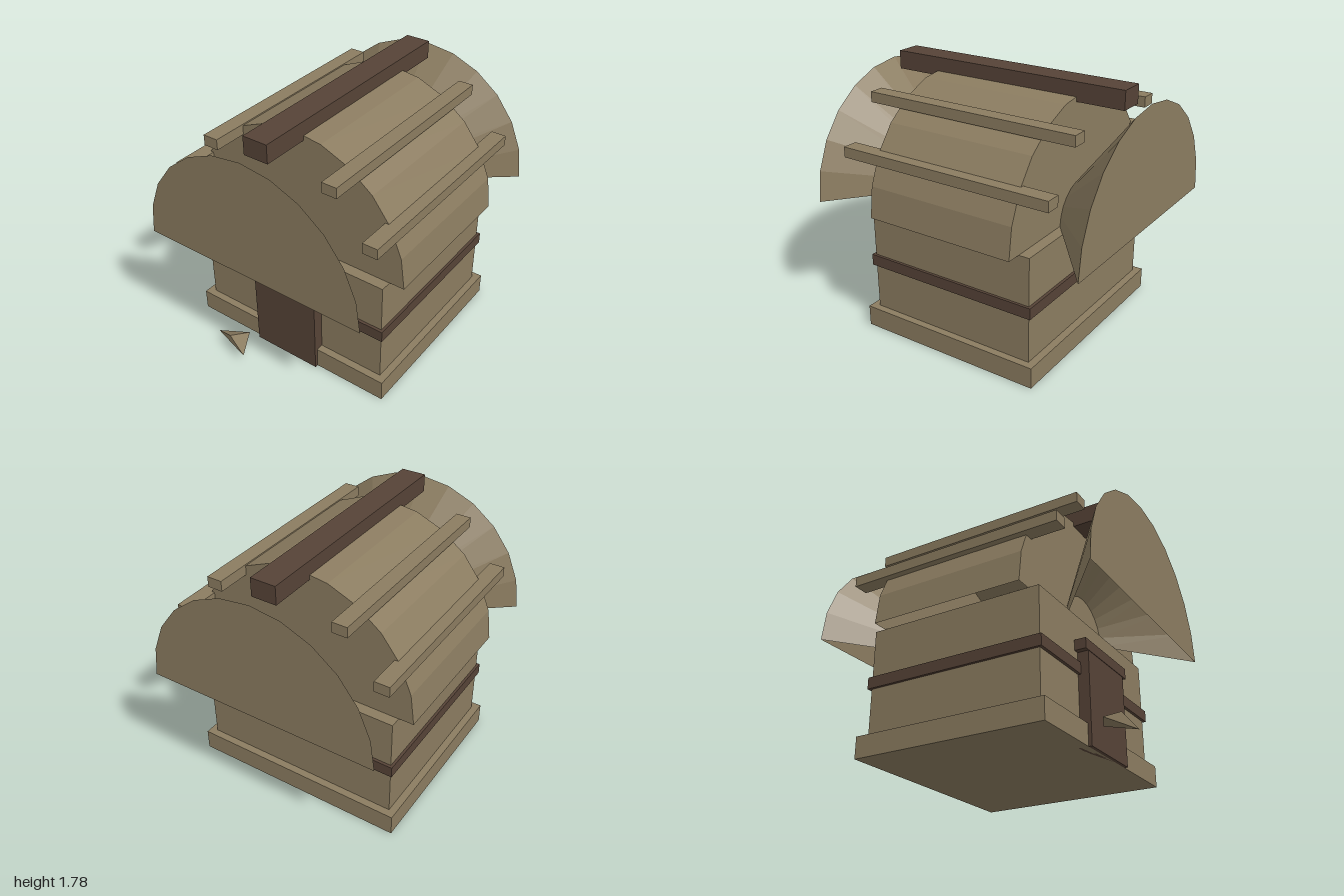
import * as THREE from 'three';
import { ConvexGeometry } from 'three/addons/geometries/ConvexGeometry.js';

export function createModel() {
  const group = new THREE.Group();
  group.name = 'barrelRoofHut';

  const clay = new THREE.MeshStandardMaterial({ color: 0x8b7c60, flatShading: true, side: THREE.DoubleSide });
  clay.name = 'clay';
  const wood = new THREE.MeshStandardMaterial({ color: 0x564337, flatShading: true });
  wood.name = 'dark wood';

  const add = (name, geometry, material) => {
    const mesh = new THREE.Mesh(geometry, material);
    mesh.name = name;
    group.add(mesh);
    return mesh;
  };

  // Box given by its minimum and maximum on each axis
  const box = (name, material, [x0, x1], [y0, y1], [z0, z1]) =>
    add(name, new THREE.BoxGeometry(x1 - x0, y1 - y0, z1 - z0), material)
      .position.set((x0 + x1) / 2, (y0 + y1) / 2, (z0 + z1) / 2);

  // Upper half of a cylinder or cone lying along z, open underneath
  const EAVES = 0.87;
  const arch = (name, rFront, rBack, zFront, zBack) => {
    const g = new THREE.CylinderGeometry(rFront, rBack, zFront - zBack, 12, 1, false, Math.PI / 2, Math.PI);
    g.rotateX(Math.PI / 2);
    add(name, g, clay).position.set(0, EAVES, (zFront + zBack) / 2);
  };

  // Body
  box('base', clay, [-0.77, 0.77], [0, 0.145], [-0.665, 0.665]);
  box('walls', clay, [-0.72, 0.72], [0.145, EAVES], [-0.613, 0.613]);
  box('wallBand', wood, [-0.738, 0.738], [0.465, 0.543], [-0.633, 0.633]);

  // Doorway
  box('door', wood, [-0.25, 0.25], [0, 0.615], [0.6, 0.688]);
  box('lintel', wood, [-0.288, 0.288], [0.613, 0.685], [0.6, 0.692]);

  // Roof with a flared hood at each end
  arch('roof', 0.823, 0.823, 0.538, -0.538);
  arch('frontHood', 0.825, 0.25, 1, 0.54);
  arch('backHood', 0.25, 0.825, -0.54, -1);

  // Ridge beam and purlins
  box('ridgeBeam', wood, [-0.088, 0.088], [1.65, 1.776], [-0.867, 0.867]);
  for (const side of [-1, 1]) {
    for (const [x, y] of [[0.447, 1.563], [0.728, 1.263]]) {
      box('purlin', clay, [side * x - 0.053, side * x + 0.053], [y - 0.036, y + 0.036], [-0.773, 0.773]);
    }
  }

  // Small stone shard by the door
  add('shard', new ConvexGeometry([
    new THREE.Vector3(-0.46, 0.08, 0.862),
    new THREE.Vector3(-0.16, 0.08, 0.95),
    new THREE.Vector3(-0.31, 0.15, 0.91),
    new THREE.Vector3(-0.26, 0.1, 0.77),
  ]), clay);

  return group;
}
